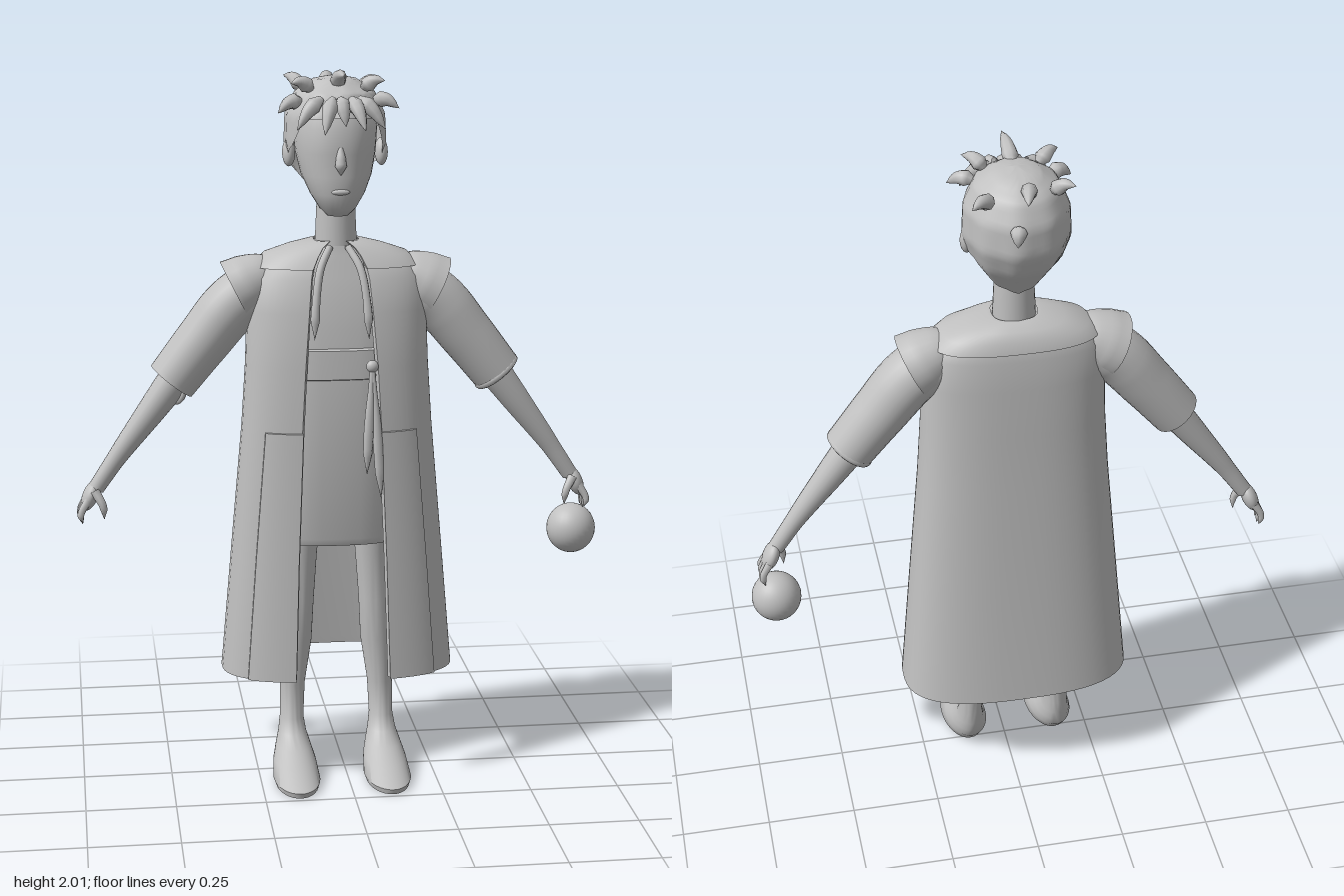
import * as THREE from 'three';
import { mergeVertices, toCreasedNormals } from 'three/addons/utils/BufferGeometryUtils.js';

const clay = new THREE.MeshStandardMaterial({ color: 0xc0c0c0, side: THREE.DoubleSide });
clay.name = 'clay grey';
const V = (a) => new THREE.Vector3(...a);
const lerp = THREE.MathUtils.lerp;

function mesh(name, geo, parent) {
  const m = new THREE.Mesh(geo, clay);
  m.name = name;
  parent.add(m);
  return m;
}

// Skin closed loops of points, listed bottom to top
function loft(rings, crease = 0.9) {
  const n = rings[0].length, idx = [];
  for (let i = 0; i < rings.length - 1; i++) for (let j = 0; j < n; j++) {
    const k = (j + 1) % n, a = i * n + j, b = i * n + k;
    idx.push(a, b, b + n, a, b + n, a + n);
  }
  const g = new THREE.BufferGeometry();
  g.setAttribute('position', new THREE.Float32BufferAttribute(rings.flat(2), 3));
  g.setIndex(idx);
  return toCreasedNormals(g, crease);
}

// Superellipse point at angle t from the front
const bend = (v, p) => Math.sign(v) * Math.abs(v) ** p;
function oval(t, y, w, zf, zb, p = 1, cx = 0) {
  return [cx + w * bend(Math.sin(t), p), y, (zf + zb) / 2 + (zf - zb) / 2 * bend(Math.cos(t), p)];
}
function ovalRing(y, w, zf, zb, p = 1, cx = 0, n = 32) {
  return Array.from({ length: n }, (_, j) => oval(j / n * 2 * Math.PI, y, w, zf, zb, p, cx));
}
// Collapse both ends of a stack of rings so that it is closed
function capped(rings) {
  const centre = (r) => {
    const c = [0, 1, 2].map((k) => r.reduce((s, q) => s + q[k], 0) / r.length);
    return r.map(() => c);
  };
  return [centre(rings[0]), ...rings, centre(rings[rings.length - 1])];
}

// Open-fronted shell with thickness; rows are [y, w, zf, zb, half opening]
const P = 0.75;
function openShell(rows, thick) {
  const n = 48;
  const ring = ([y, w, zf, zb, o], th) => {
    const t0 = Math.asin((o / w) ** (1 / P)), out = [], inn = [];
    for (let j = 0; j <= n; j++) {
      const t = lerp(t0, 2 * Math.PI - t0, j / n);
      out.push(oval(t, y, w, zf, zb, P));
      inn.unshift(oval(t, y, w - th, zf - th, zb + th, P));
    }
    return [...out, ...inn];
  };
  const last = rows[rows.length - 1];
  return loft([ring(rows[0], 0), ...rows.map((r) => ring(r, thick)), ring(last, 0)]);
}

// Tube along a curve; radii are spread evenly over its length
function limb(pts, radii, seg = 24, sides = 14) {
  const curve = new THREE.CatmullRomCurve3(pts.map(V));
  const g = new THREE.TubeGeometry(curve, seg, 1, sides);
  const pos = g.attributes.position, v = new THREE.Vector3();
  for (let i = 0; i <= seg; i++) {
    const c = curve.getPointAt(i / seg), f = i / seg * (radii.length - 1);
    const k = Math.min(Math.floor(f), radii.length - 2);
    const r = lerp(radii[k], radii[k + 1], f - k);
    for (let j = 0; j <= sides; j++) {
      const q = i * (sides + 1) + j;
      v.fromBufferAttribute(pos, q).sub(c).multiplyScalar(r).add(c);
      pos.setXYZ(q, v.x, v.y, v.z);
    }
  }
  g.deleteAttribute('uv');
  g.deleteAttribute('normal');
  const m = mergeVertices(g);
  m.computeVertexNormals();
  return m;
}

function ball(name, pos, scale, parent) {
  const m = mesh(name, new THREE.SphereGeometry(1, 28, 20), parent);
  m.position.set(...pos);
  m.scale.set(...scale);
  return m;
}

const coatRows = [
  [0.31, 0.33, 0.14, -0.21, 0.135], [0.33, 0.328, 0.14, -0.208, 0.135], [0.65, 0.3, 0.13, -0.185, 0.125],
  [1.02, 0.267, 0.12, -0.162, 0.11], [1.2, 0.255, 0.115, -0.155, 0.1], [1.35, 0.25, 0.1, -0.15, 0.088],
  [1.44, 0.24, 0.08, -0.145, 0.08], [1.49, 0.2, 0.055, -0.135, 0.07], [1.515, 0.13, 0.035, -0.12, 0.06],
  [1.53, 0.07, 0.025, -0.1, 0.03]];

function buildHead(g) {
  const head = [[1.61, 0.03, 0.045, -0.03], [1.63, 0.05, 0.068, -0.06], [1.67, 0.075, 0.08, -0.09],
    [1.72, 0.097, 0.082, -0.14], [1.78, 0.11, 0.08, -0.18], [1.85, 0.115, 0.085, -0.19],
    [1.92, 0.098, 0.05, -0.17], [1.96, 0.05, 0, -0.12]];
  mesh('head', loft(capped(head.map((r) => ovalRing(...r, 0.9))), 1.5), g);
  mesh('neck', new THREE.CylinderGeometry(0.052, 0.06, 0.18, 28), g).position.set(0, 1.58, -0.035);
  mesh('nose', limb([[0, 1.8, 0.078], [0, 1.75, 0.085], [0, 1.725, 0.083]], [0.006, 0.013, 0.016, 0], 12), g);
  ball('mouth', [0, 1.68, 0.079], [0.025, 0.008, 0.008], g);
  for (const s of [-1, 1]) ball('ear', [s * 0.128, 1.775, -0.05], [0.018, 0.038, 0.024], g).rotation.x = -0.2;

  // Hair shell whose lower edge leaves the face free
  const prof = [[1.985, 0], [1.975, 0.06], [1.94, 0.112], [1.88, 0.14], [1.8, 0.143], [1.73, 0.122], [1.68, 0.09], [1.63, 0.06]];
  const edge = [[0, 1.88], [45, 1.875], [62, 1.8], [85, 1.76], [110, 1.74], [130, 1.66], [180, 1.63]];
  const table = (t, x) => {
    const k = Math.max(1, t.findIndex((q) => (t[1][0] > t[0][0] ? x <= q[0] : x >= q[0])));
    return lerp(t[k - 1][1], t[k][1], (x - t[k - 1][0]) / (t[k][0] - t[k - 1][0]));
  };
  const rings = [];
  for (let i = 24; i >= 0; i--) rings.push(Array.from({ length: 64 }, (_, j) => {
    const a = j / 64 * 2 * Math.PI, deg = Math.min(j, 64 - j) / 64 * 360;
    const y = lerp(1.985, table(edge, deg), (i / 24) ** 1.5);
    const r = table(prof, y) * (1 + 0.025 * Math.sin(a * 9) * i / 24);
    return [r * Math.sin(a) * 0.98, y, lerp(-0.04, -0.062, Math.min(1, (y - 1.63) / 0.17)) + r * Math.cos(a) * 1.08];
  }));
  mesh('hair', loft(rings, 1.5), g);

  // Pointed tufts, base to tip
  const tufts = [
    [[0, 1.96, -0.02], [0.005, 1.995, 0.11]], [[-0.02, 1.95, -0.13], [0.005, 1.965, -0.24]],
    [[0.08, 1.93, -0.14], [0.145, 1.96, -0.225]], [[-0.08, 1.94, -0.13], [-0.13, 1.975, -0.18]],
    [[-0.07, 1.95, 0], [-0.13, 1.97, 0.04]], [[0.07, 1.95, 0], [0.125, 1.975, 0.04]],
    [[-0.05, 1.93, 0.06], [-0.12, 1.85, 0.1]], [[0.05, 1.93, 0.06], [0.12, 1.85, 0.1]],
    [[-0.02, 1.93, 0.07], [-0.05, 1.84, 0.145]], [[0.03, 1.93, 0.07], [0.06, 1.85, 0.145]],
    [[0, 1.93, 0.07], [0.01, 1.86, 0.12]], [[0.02, 1.88, -0.2], [0.03, 1.845, -0.235]],
    [[-0.1, 1.92, 0], [-0.165, 1.89, 0.035]], [[0.1, 1.92, 0], [0.165, 1.9, 0.035]]];
  for (const [a, b] of tufts) {
    const mid = a.map((v, k) => (v + b[k]) / 2 + (k === 1 ? 0.012 : 0));
    mesh('hairTuft', limb([a, mid, b], [0.01, 0.022, 0.018, 0.011, 0], 12, 8), g);
  }
}

// Everything that comes in pairs, built for the +x side
function buildSide(g) {
  // Leg and foot, rows are [y, centre x, w, zf, zb]
  const leg = [[0, 0.13, 0.06, 0.235, 0], [0.015, 0.13, 0.066, 0.24, -0.025], [0.05, 0.13, 0.06, 0.155, -0.055],
    [0.08, 0.13, 0.05, 0.09, -0.065], [0.11, 0.13, 0.04, 0.035, -0.07], [0.15, 0.13, 0.034, 0.008, -0.072],
    [0.25, 0.127, 0.036, 0, -0.077], [0.38, 0.117, 0.046, 0.01, -0.085], [0.5, 0.11, 0.045, 0.012, -0.077],
    [0.64, 0.103, 0.048, 0.012, -0.08], [0.9, 0.09, 0.06, 0.03, -0.1]];
  mesh('legAndFoot', loft(capped(leg.map(([y, cx, w, zf, zb]) => ovalRing(y, w, zf, zb, 1, cx))), 1), g);

  // Sleeve with turned-in cuff, and shoulder cap
  mesh('sleeve', limb([[0.19, 1.42, -0.035], [0.28, 1.365, -0.035], [0.37, 1.26, -0.035], [0.46, 1.147, -0.035]],
    [0.07, 0.08, 0.08, 0.077, 0.074, 0.071], 30, 24), g);
  const cuff = mesh('cuff', new THREE.TorusGeometry(0.062, 0.011, 10, 28), g);
  cuff.position.set(0.455, 1.152, -0.035);
  cuff.lookAt(0.545, 1.04, -0.035);
  mesh('shoulderCap', limb([[0.16, 1.44, -0.035], [0.22, 1.425, -0.035], [0.28, 1.395, -0.035]], [0.05, 0.07, 0.085, 0.092], 12, 24), g);

  // Forearm and hand
  mesh('forearm', limb([[0.4, 1.22, -0.035], [0.52, 1.06, -0.035], [0.61, 0.94, -0.037], [0.675, 0.845, -0.04]],
    [0.05, 0.046, 0.04, 0.033, 0.026, 0.023], 24, 18), g);
  ball('palm', [0.692, 0.822, -0.045], [0.022, 0.045, 0.036], g).rotation.z = 0.4;
  for (let i = 0; i < 4; i++) {
    const z = -0.078 + i * 0.021;
    mesh('finger', limb([[0.698, 0.815, z * 0.8 - 0.01], [0.72, 0.775, z], [0.715, 0.735 + 0.008 * Math.abs(i - 1), z]],
      [0.012, 0.011, 0.01, 0.009, 0], 14, 8), g);
  }
  mesh('thumb', limb([[0.68, 0.84, -0.02], [0.658, 0.8, -0.005], [0.655, 0.76, -0.01]], [0.014, 0.012, 0.01, 0], 12, 8), g);

  // Thick lower front panel following the coat surface
  const panel = [[0.31, 0.33, 0.14, -0.21, 0.133, 0.265], [0.65, 0.3, 0.13, -0.185, 0.123, 0.24], [1.02, 0.267, 0.12, -0.162, 0.108, 0.21]];
  mesh('frontPanel', loft(capped(panel.map(([y, w, zf, zb, x0, x1]) => {
    const out = [], inn = [];
    for (let j = 0; j <= 10; j++) {
      const x = lerp(x0, x1, j / 10), z = oval(Math.asin((x / w) ** (1 / P)), y, w, zf, zb, P)[2];
      out.push([x, y, z + 0.01]);
      inn.unshift([x, y, z - 0.008]);
    }
    return [...out, ...inn];
  })), 0.7), g);

  // Neck tie
  mesh('neckTie', limb([[0.025, 1.525, 0.035], [0.055, 1.47, 0.075], [0.07, 1.38, 0.1], [0.075, 1.28, 0.108]],
    [0.01, 0.011, 0.011, 0.011, 0.013, 0], 24, 8), g);
}

export function createModel() {
  const model = new THREE.Group();
  model.name = 'cloakedFigure';
  const body = new THREE.Group();
  body.name = 'body';
  body.position.x = -0.02;
  model.add(body);

  buildHead(body);
  for (const s of [1, -1]) {
    const side = new THREE.Group();
    side.name = s > 0 ? 'leftSide' : 'rightSide';
    side.scale.x = s;
    buildSide(side);
    body.add(side);
  }

  // Coat and shoulder collar
  mesh('coat', openShell(coatRows, 0.016), body);
  mesh('collar', openShell([[1.468, 0.232, 0.078, -0.15, 0.075], [1.5, 0.2, 0.062, -0.142, 0.06],
    [1.522, 0.135, 0.045, -0.125, 0.045], [1.538, 0.072, 0.03, -0.1, 0.025]], 0.01), body);

  // Tunic with waistband
  const tunic = [[0.69, 0.165, 0.09, -0.13], [0.71, 0.17, 0.097, -0.135], [1.16, 0.165, 0.082, -0.13],
    [1.3, 0.165, 0.075, -0.125], [1.44, 0.16, 0.05, -0.12], [1.5, 0.1, 0.03, -0.105], [1.525, 0.062, 0.025, -0.095]];
  mesh('tunic', loft(capped(tunic.map((r) => ovalRing(...r, 0.7))), 0.9), body);
  const band = [[1.16, 0.165, 0.08], [1.165, 0.17, 0.096], [1.245, 0.17, 0.092], [1.25, 0.165, 0.07]];
  mesh('waistband', loft(band.map(([y, w, zf]) => ovalRing(y, w, zf, -0.13, 0.7))), body);

  // Hanging cords with a knot
  ball('cordKnot', [0.083, 1.205, 0.115], [0.017, 0.017, 0.014], body);
  for (const [x, y] of [[0.068, 0.9], [0.108, 0.83]])
    mesh('cord', limb([[0.083, 1.2, 0.115], [(x + 0.08) / 2, 1.06, 0.122], [x, y, 0.12]], [0.007, 0.008, 0.012, 0.014, 0.013, 0], 24, 8), body);

  // Ball held in the left hand
  ball('heldBall', [0.685, 0.68, -0.05], [0.07, 0.072, 0.068], body);
  return model;
}
